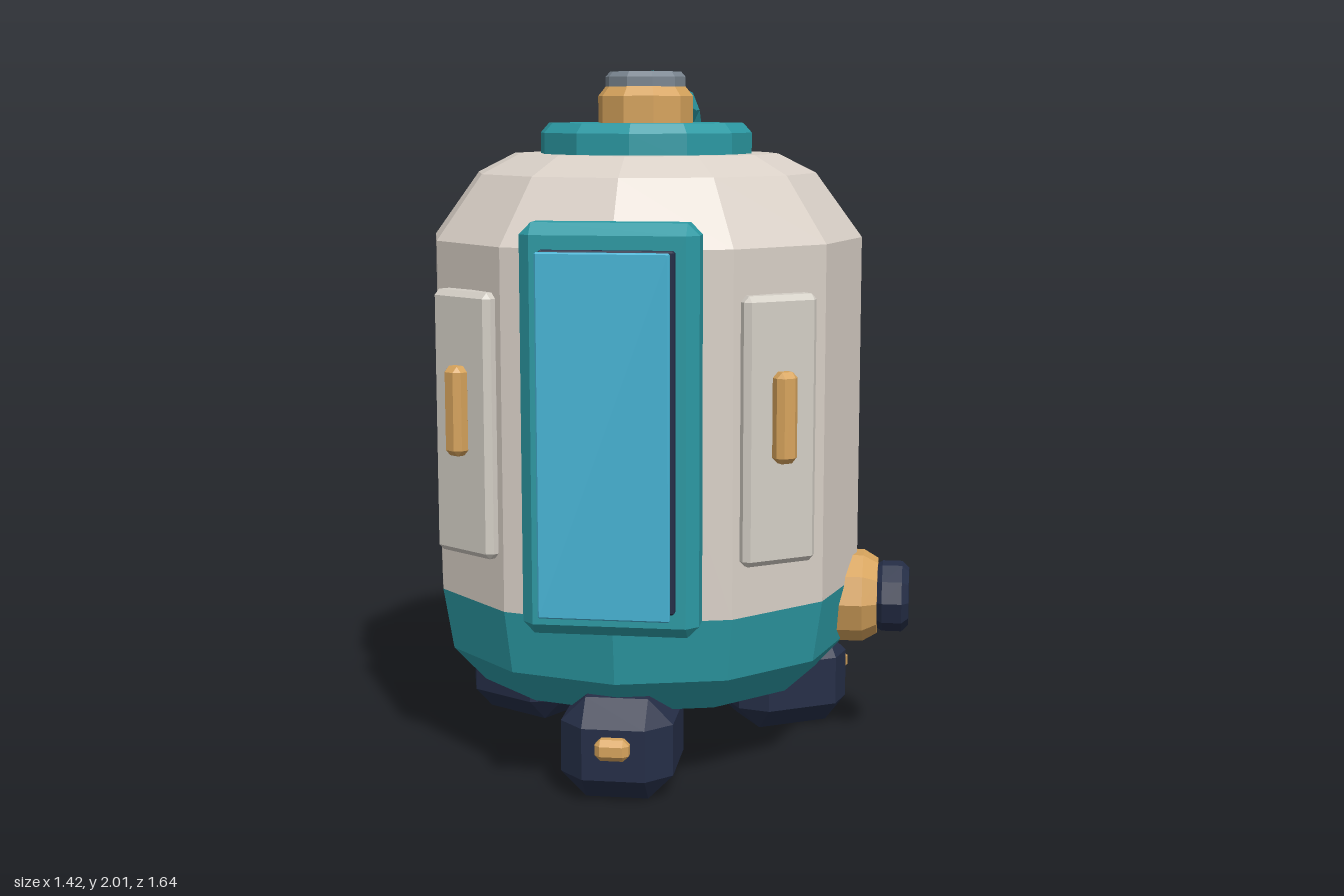
import * as THREE from 'three';
import { ConvexGeometry } from 'three/addons/geometries/ConvexGeometry.js';

const mat = (name, color) => {
  const m = new THREE.MeshStandardMaterial({ color });
  m.name = name;
  return m;
};

// Split faces so every facet is shaded flat
function faceted(geometry) {
  const g = geometry.index ? geometry.toNonIndexed() : geometry;
  g.computeVertexNormals();
  return g;
}

// Box with all edges and corners cut off by b
function chamferBox(w, h, d, b) {
  const pts = [];
  const [x, y, z] = [w / 2, h / 2, d / 2];
  for (const i of [-1, 1]) for (const j of [-1, 1]) for (const k of [-1, 1]) {
    pts.push(
      new THREE.Vector3(i * x, j * (y - b), k * (z - b)),
      new THREE.Vector3(i * (x - b), j * y, k * (z - b)),
      new THREE.Vector3(i * (x - b), j * (y - b), k * z));
  }
  return faceted(new ConvexGeometry(pts));
}

// Turned part from [radius, height] pairs listed bottom to top
function turned(profile, sides, phase = 0) {
  const pts = profile.map(([r, y]) => new THREE.Vector2(r, y));
  return faceted(new THREE.LatheGeometry(pts, sides, phase));
}

export function createModel() {
  const cream = mat('creamShell', 0xd9d0c7);
  const pale = mat('palePanel', 0xd3cec5);
  const teal = mat('tealTrim', 0x2c9aa4);
  const gold = mat('brass', 0xd6a35c);
  const navy = mat('navyRubber', 0x252e47);
  const grey = mat('steel', 0x7a8590);
  const glass = mat('blueGlass', 0x47b4d5);

  const model = new THREE.Group();
  model.name = 'tank';
  const body = new THREE.Group();
  body.name = 'tankAssembly';
  body.position.set(-0.08, 0, 0.04);
  model.add(body);

  const add = (name, geometry, material, x = 0, y = 0, z = 0, parent = body) => {
    const m = new THREE.Mesh(geometry, material);
    m.name = name;
    m.position.set(x, y, z);
    parent.add(m);
    return m;
  };

  // Shell, base and stacked top
  add('shell', turned([[0.635, 0.515], [0.635, 1.525], [0.5, 1.71], [0.39, 1.765], [0, 1.765]], 12), cream);
  add('base', turned([[0, 0.23], [0.51, 0.23], [0.605, 0.335], [0.635, 0.515]], 12), teal);
  add('topPlate', turned([[0.312, 1.75], [0.312, 1.825], [0.287, 1.853], [0, 1.853]], 12), teal);
  add('neck', turned([[0.14, 1.84], [0.14, 1.93], [0.118, 1.957], [0, 1.957]], 10, Math.PI / 2), gold);
  add('cap', turned([[0.118, 1.95], [0.118, 1.985], [0.105, 2], [0, 2]], 10, Math.PI / 2), grey);

  // Front gauge: frame, backing, liquid column and glass
  add('gaugeFrame', chamferBox(0.48, 1.11, 0.132, 0.032), teal, 0, 1.045, 0.625);
  add('gaugeBacking', chamferBox(0.36, 0.965, 0.04, 0.005), navy, 0, 1.048, 0.697);
  add('gaugeLevel', chamferBox(0.32, 0.5, 0.032, 0.005), teal, 0, 0.83, 0.74);
  add('gaugeGlass', chamferBox(0.352, 0.968, 0.015, 0.004), glass, 0, 1.046, 0.772);

  // Angled side panels with grips
  for (const side of [-1, 1]) {
    const panel = new THREE.Group();
    panel.name = side > 0 ? 'leftPanel' : 'rightPanel';
    panel.position.set(side * 0.427, 1.03, 0.467);
    panel.rotation.y = side * 0.6;
    body.add(panel);
    add('panelPlate', chamferBox(0.225, 0.74, 0.07, 0.016), pale, 0, 0, 0, panel);
    add('panelGrip', chamferBox(0.064, 0.25, 0.055, 0.016), gold, 0, 0.04, 0.047, panel);
  }

  // Three feet, one at the front
  for (let i = 0; i < 3; i++) {
    const foot = new THREE.Group();
    foot.name = 'foot' + (i + 1);
    foot.rotation.y = (i * Math.PI * 2) / 3;
    body.add(foot);
    add('footBlock', chamferBox(0.315, 0.286, 0.367, 0.07), navy, 0, 0.143, 0.453, foot);
    add('footKnob', chamferBox(0.095, 0.06, 0.07, 0.016), gold, 0, 0.165, 0.638, foot);
  }

  // Outlet valve on the left side
  const valve = new THREE.Group();
  valve.name = 'valve';
  valve.position.set(0, 0.457, 0);
  valve.rotation.z = -Math.PI / 2;
  body.add(valve);
  add('valveCollar', turned([[0, 0.54], [0.137, 0.54], [0.137, 0.655], [0.112, 0.698], [0, 0.698]], 10), gold, 0, 0, 0, valve);
  add('valvePlug', turned([[0.085, 0.68], [0.105, 0.712], [0.105, 0.77], [0.085, 0.79], [0, 0.79]], 10), navy, 0, 0, 0, valve);

  // Hose from the neck, over the back and into the base
  const path = new THREE.CatmullRomCurve3([
    [1.925, -0.08], [1.918, -0.27], [1.888, -0.51], [1.885, -0.64], [1.78, -0.725],
    [1.35, -0.768], [0.85, -0.766], [0.58, -0.735], [0.44, -0.66], [0.42, -0.52],
  ].map(([y, z]) => new THREE.Vector3(0, y, z)));
  add('hose', faceted(new THREE.TubeGeometry(path, 24, 0.083, 8)), teal);

  // Clips holding the hose to the shell
  for (const [y, z] of [[1.42, -0.715], [0.77, -0.735]]) {
    const clip = add('hoseClip', faceted(new THREE.TorusGeometry(0.066, 0.036, 6, 12)), gold, 0, y, z);
    clip.rotation.x = Math.PI / 2;
  }

  return model;
}
